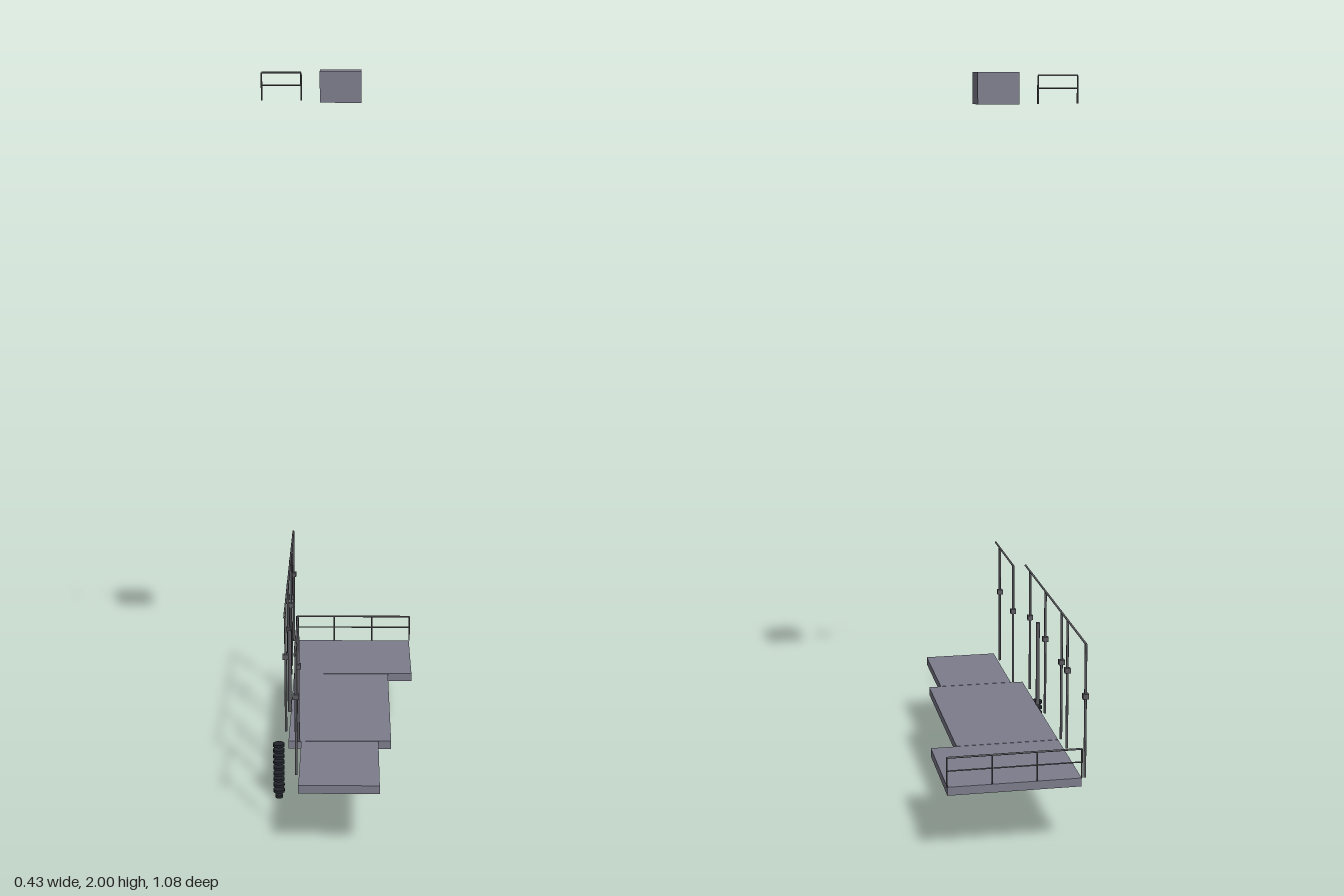
import * as THREE from 'three';

const mat = (name, color) => {
  const m = new THREE.MeshStandardMaterial({ color });
  m.name = name;
  return m;
};

export function createModel() {
  const root = new THREE.Group();
  root.name = 'walkway';
  const deckGrey = mat('deckGrey', 0x7d7c8c);
  const railGrey = mat('railGrey', 0x5a5a60);
  const black = mat('black', 0x22242b);

  const group = (name) => {
    const g = new THREE.Group();
    g.name = name;
    root.add(g);
    return g;
  };
  // Box given by its minimum and maximum corners
  const box = (parent, name, m, a, b) => {
    const mesh = new THREE.Mesh(new THREE.BoxGeometry(b[0] - a[0], b[1] - a[1], b[2] - a[2]), m);
    mesh.position.set((a[0] + b[0]) / 2, (a[1] + b[1]) / 2, (a[2] + b[2]) / 2);
    mesh.name = name;
    parent.add(mesh);
  };
  // Round bar between two points
  const bar = (parent, name, m, a, b, r) => {
    const p = new THREE.Vector3(...a), q = new THREE.Vector3(...b);
    const d = q.clone().sub(p);
    const mesh = new THREE.Mesh(new THREE.CylinderGeometry(r, r, d.length(), 10), m);
    mesh.position.copy(p).add(q).multiplyScalar(0.5);
    mesh.quaternion.setFromUnitVectors(new THREE.Vector3(0, 1, 0), d.normalize());
    mesh.name = name;
    parent.add(mesh);
  };

  // Three deck slabs, stepping in width, with narrow joints between them
  const deck = group('deck');
  box(deck, 'backSlab', deckGrey, [-0.142, 0.177, -0.535], [0.212, 0.2, -0.251]);
  box(deck, 'middleSlab', deckGrey, [-0.142, 0.177, -0.249], [0.141, 0.2, 0.25]);
  box(deck, 'frontSlab', deckGrey, [-0.107, 0.177, 0.252], [0.106, 0.2, 0.536]);

  // Tall side railings: posts with a collar and one top rail
  const sideRail = (name, x, z0, z1, posts) => {
    const g = group(name);
    bar(g, 'topRail', railGrey, [x, 0.561, z0], [x, 0.561, z1], 0.003);
    for (const z of posts) {
      bar(g, 'post', railGrey, [x, 0.2, z], [x, 0.561, z], 0.0035);
      box(g, 'collar', railGrey, [x - 0.008, 0.414, z - 0.007], [x + 0.008, 0.428, z + 0.007]);
    }
  };
  sideRail('longSideRailing', -0.151, -0.535, 0.251, [-0.53, -0.317, -0.245, -0.033, 0.182]);
  sideRail('frontSideRailing', -0.114, 0.251, 0.538, [0.254, 0.468]);

  // Low railings: top rail, middle rail and evenly spaced posts
  const lowRail = (name, x0, x1, y0, y1, z, spans) => {
    const g = group(name);
    const mid = y0 + (y1 - y0) * 0.55;
    bar(g, 'topRail', railGrey, [x0, y1, z], [x1, y1, z], 0.0025);
    bar(g, 'middleRail', railGrey, [x0, mid, z], [x1, mid, z], 0.0018);
    for (let i = 0; i <= spans; i++) {
      const x = x0 + ((x1 - x0) * i) / spans;
      bar(g, 'post', railGrey, [x, y0, z], [x, y1, z], 0.0022);
    }
  };
  lowRail('backRailing', -0.142, 0.213, 0.2, 0.28, -0.535, 3);
  lowRail('upperRailing', -0.215, -0.108, 1.918, 1.992, -0.101, 1);

  // Short stand pipe at the deck edge
  bar(root, 'standPipe', railGrey, [-0.145, 0.2, 0.041], [-0.145, 0.448, 0.041], 0.0055);

  // High floating block
  box(root, 'upperBlock', deckGrey, [-0.056, 1.917, -0.109], [0.055, 2, -0.027]);

  // Column of separate discs below the deck
  const discs = group('discColumn');
  for (let i = 0; i < 10; i++) {
    const y = i * 0.0172, r = i === 0 ? 0.011 : 0.0165;
    bar(discs, 'disc', black, [-0.172, y, 0.182], [-0.172, y + 0.008, 0.182], r);
  }
  return root;
}
